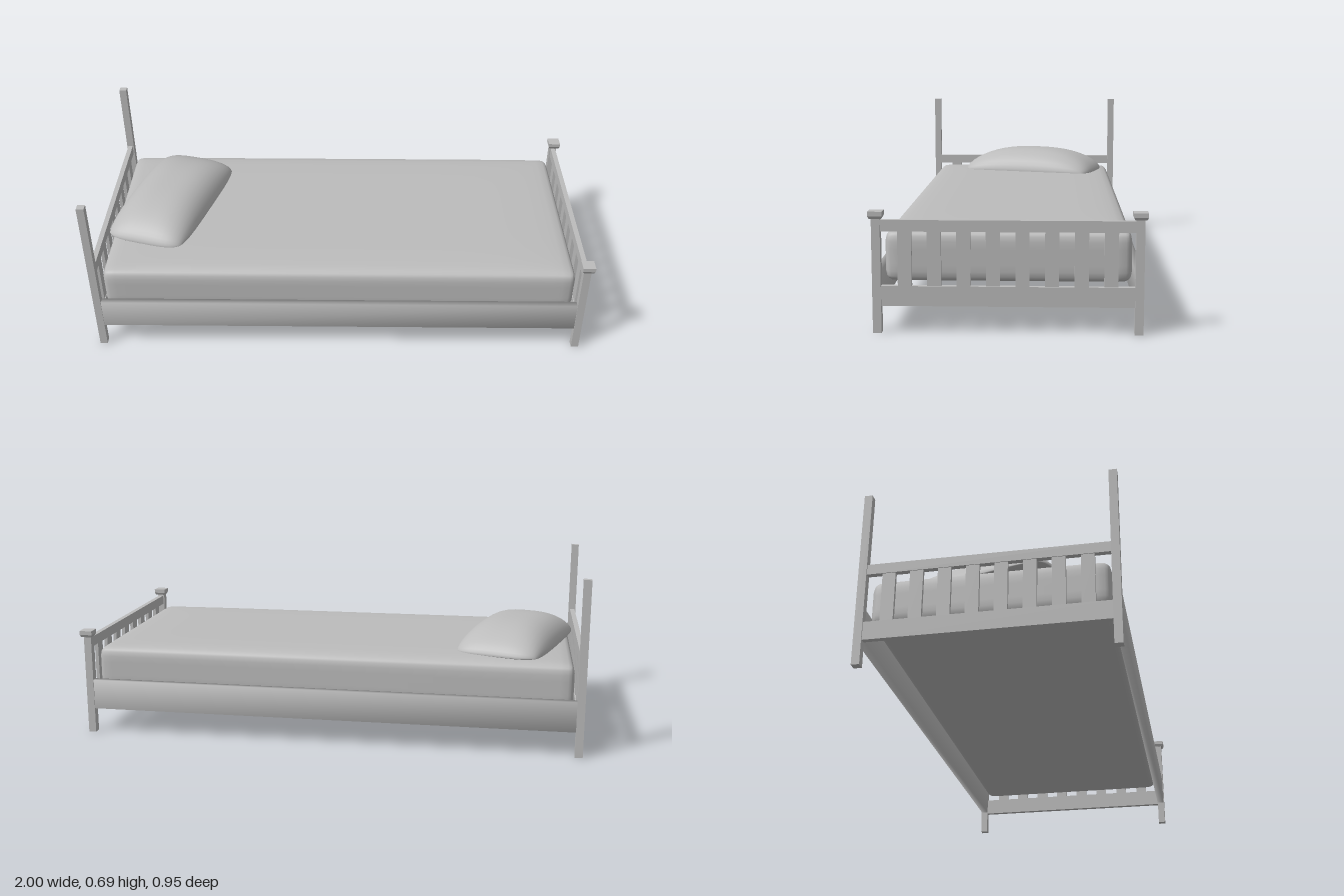
import * as THREE from 'three';
import { mergeVertices } from 'three/addons/utils/BufferGeometryUtils.js';

const grey = new THREE.MeshStandardMaterial({ color: 0xbcbcbc });
grey.name = 'plainGrey';

function add(parent, name, geometry, x, y, z) {
  const mesh = new THREE.Mesh(geometry, grey);
  mesh.name = name;
  mesh.position.set(x, y, z);
  parent.add(mesh);
  return mesh;
}

const box = (w, h, d) => new THREE.BoxGeometry(w, h, d);

// Shares the corners of a geometry so that its shading runs smoothly over them
function smooth(geometry) {
  geometry.deleteAttribute('normal');
  geometry.deleteAttribute('uv');
  const merged = mergeVertices(geometry, 1e-5);
  merged.computeVertexNormals();
  return merged;
}

// Moves every vertex of a finely divided cube (-1..1, denser near its edges)
function shapeCube(nx, ny, nz, rule) {
  const geometry = new THREE.BoxGeometry(2, 2, 2, nx, ny, nz);
  const p = geometry.attributes.position;
  const v = new THREE.Vector3();
  const ease = (t) => Math.sin(t * Math.PI / 2);
  for (let i = 0; i < p.count; i++) {
    v.fromBufferAttribute(p, i);
    v.set(ease(v.x), ease(v.y), ease(v.z));
    rule(v);
    p.setXYZ(i, v.x, v.y, v.z);
  }
  return smooth(geometry);
}

// Rounded block with a gently domed top
function mattressGeometry() {
  const half = new THREE.Vector3(0.952, 0.09, 0.428);
  const r = 0.035;
  const inner = half.clone().subScalar(r);
  const core = new THREE.Vector3();
  return shapeCube(28, 10, 20, (v) => {
    const { x, y, z } = v;
    v.multiply(half);
    core.copy(v).clamp(inner.clone().negate(), inner);
    v.sub(core);
    if (v.lengthSq() > 0) v.setLength(r);
    v.add(core);
    if (y > 0) v.y += 0.013 * y * (1 - Math.abs(x) ** 8) * (1 - Math.abs(z) ** 6);
  });
}

// Cushion, thick in the middle and closing to a seam with rounded corners
function pillowGeometry() {
  return shapeCube(20, 1, 28, (v) => {
    const { x, y, z } = v;
    const h = ((1 - Math.abs(x) ** 3) * (1 - Math.abs(z) ** 2.5)) ** 0.6;
    const corner = 1 - 0.1 * x ** 4 * z ** 4;
    v.set(x * 0.178 * corner, y > 0 ? 0.105 * h : -0.025 * h, z * 0.318 * corner);
  });
}

// Two rails joined by eight upright slats
function slattedEnd(name, x) {
  const end = new THREE.Group();
  end.name = name;
  add(end, 'lowerRail', box(0.02, 0.07, 0.87), x, 0.13, 0);
  add(end, 'upperRail', box(0.02, 0.04, 0.87), x, 0.375, 0);
  for (let i = 0; i < 8; i++) {
    add(end, 'slat', box(0.014, 0.19, 0.048), x, 0.26, (i - 3.5) * 0.101);
  }
  return end;
}

export function createModel() {
  const bed = new THREE.Group();
  bed.name = 'bed';
  const headX = -0.985;
  const footX = 0.972;

  bed.add(slattedEnd('headboard', headX), slattedEnd('footboard', footX));

  // Posts and long rails on both sides
  for (const side of [-1, 1]) {
    const z = side * 0.45;
    add(bed, 'headPost', box(0.03, 0.69, 0.03), headX, 0.345, z);
    add(bed, 'footPost', box(0.03, 0.405, 0.03), footX, 0.2025, z);

    // Square cap with a tapered underside
    const taper = new THREE.CylinderGeometry(0.05 * Math.SQRT1_2, 0.04 * Math.SQRT1_2, 0.01, 4)
      .rotateY(Math.PI / 4).toNonIndexed();
    taper.computeVertexNormals();
    add(bed, 'capTaper', taper, 0.975, 0.405, z);
    add(bed, 'postCap', box(0.05, 0.016, 0.05), 0.975, 0.418, z);

    add(bed, 'sideRail', smooth(box(1.93, 0.12, 0.028)), -0.007, 0.16, side * 0.448);
  }

  add(bed, 'mattress', mattressGeometry(), -0.007, 0.26, 0);
  const pillow = add(bed, 'pillow', pillowGeometry(), -0.735, 0.36, -0.055);
  pillow.rotation.y = -0.28;
  return bed;
}
